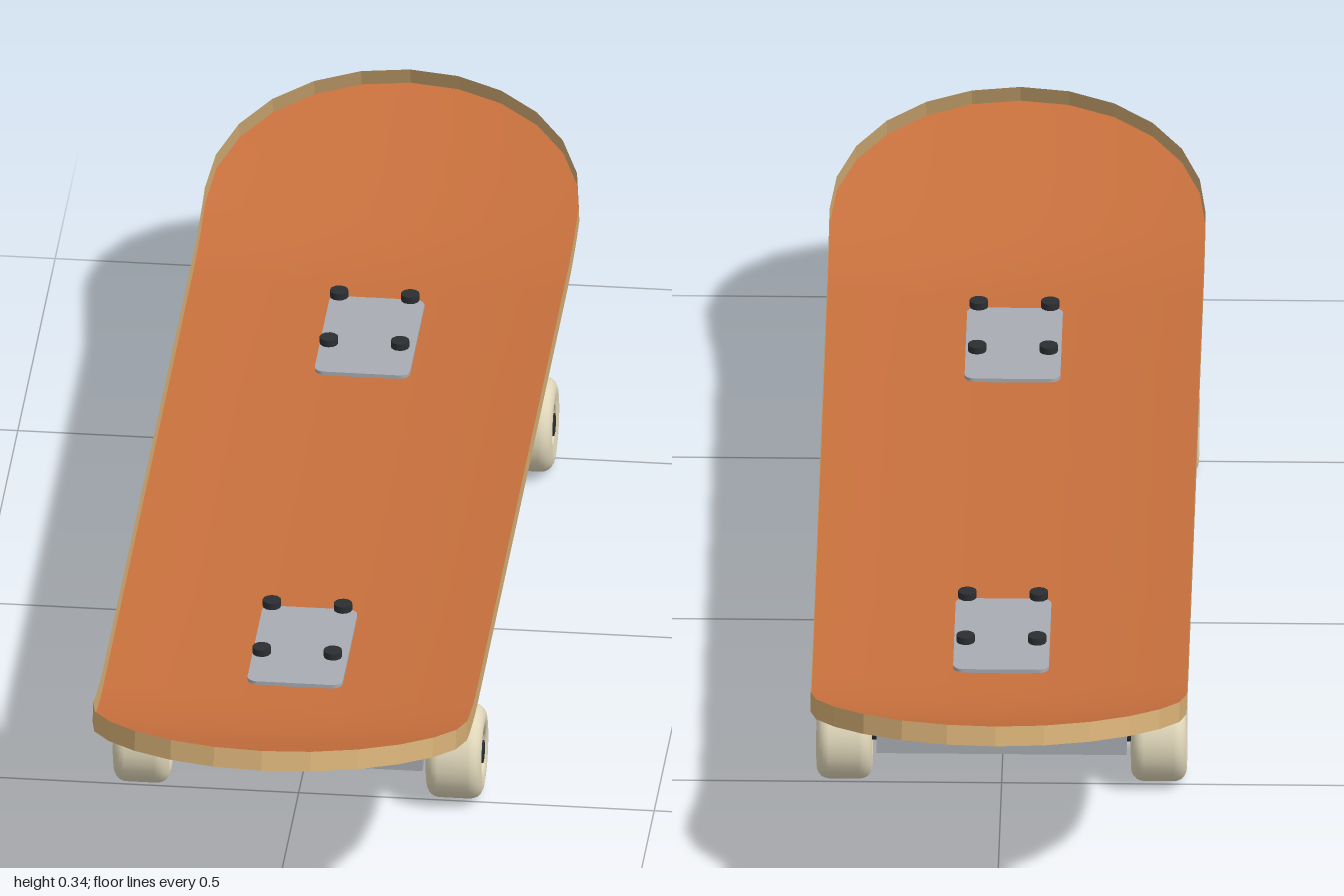
import * as THREE from 'three';

const mat = (name, color, side = THREE.FrontSide) => {
  const m = new THREE.MeshStandardMaterial({ color, side });
  m.name = name;
  return m;
};

const HALF_W = 0.263, ARC_Z = 0.755, ARC_R = 0.245, THICK = 0.028;

// Height of the deck: gentle concave across, upturned kicks at both ends
function kick(z) {
  const t = Math.max(0, Math.abs(z) - 0.6);
  return t < 0.2 ? 0.9 * t * t : 0.036 + 0.36 * (t - 0.2);
}
const kickSlope = z => Math.sign(z) * Math.min(0.36, 1.8 * Math.max(0, Math.abs(z) - 0.6));
const deckY = (x, z) => 0.202 + kick(z) + 0.015 * (x / HALF_W) ** 2;

// Cross-sections [z, half width] from tail to nose
function deckRows() {
  const half = [[0, HALF_W], [0.3, HALF_W]];
  for (const z of [0.6, 0.64, 0.68, 0.72]) half.push([z, HALF_W]);
  for (let i = 0; i <= 6; i++) {
    const a = i * Math.PI / 12;
    half.push([ARC_Z + ARC_R * Math.sin(a), HALF_W * Math.cos(a)]);
  }
  const back = half.slice(1).reverse().map(([z, w]) => [-z, w]);
  return [...back, ...half];
}

function gridGeometry(rows, flat) {
  const pos = [], idx = [], n = rows[0].length;
  rows.forEach(r => r.forEach(p => pos.push(...p)));
  for (let i = 0; i < rows.length - 1; i++)
    for (let j = 0; j < n - 1; j++) {
      const a = i * n + j, b = a + n;
      idx.push(a, b, a + 1, b, b + 1, a + 1);
    }
  let g = new THREE.BufferGeometry();
  g.setAttribute('position', new THREE.Float32BufferAttribute(pos, 3));
  g.setIndex(idx);
  if (flat) g = g.toNonIndexed();
  g.computeVertexNormals();
  return g;
}

export function createModel() {
  const model = new THREE.Group();
  model.name = 'skateboard';
  const orange = mat('orangeDeck', 0xc8703d, THREE.DoubleSide);
  const wood = mat('woodEdge', 0xd2ac74, THREE.DoubleSide);
  const metal = mat('greyMetal', 0xa9adb3);
  const dark = mat('darkSteel', 0x2c2e32);
  const cream = mat('creamWheel', 0xe0d7ba);
  const yellow = mat('yellowBushing', 0xd9a521);

  const add = (parent, name, geo, material, x = 0, y = 0, z = 0) => {
    const m = new THREE.Mesh(geo, material);
    m.name = name;
    m.position.set(x, y, z);
    parent.add(m);
    return m;
  };

  // Deck sheet
  const rows = deckRows();
  const sheet = rows.map(([z, w]) => {
    const r = [];
    for (let j = 0; j <= 12; j++) {
      const x = w * (j / 6 - 1);
      r.push([x, deckY(x, z), z]);
    }
    return r;
  });
  add(model, 'deck', gridGeometry(sheet, false), orange);

  // Raised rim following the outline, standing square to the sheet
  const outline = [
    ...rows.map(([z, w]) => [w, z]),
    ...rows.slice(0, -1).reverse().map(([z, w]) => [-w, z]),
  ];
  const rim = [0, 1].map(k => outline.map(([x, z]) => {
    const s = kickSlope(z), l = Math.hypot(1, s);
    return [x, deckY(x, z) + k * THICK / l, z - k * THICK * s / l];
  }));
  add(model, 'deckRim', gridGeometry(rim, true), wood);

  // Shared truck geometries
  const plateShape = new THREE.Shape();
  const pw = 0.067, pd = 0.11, pr = 0.014;
  plateShape.absarc(pw - pr, pd - pr, pr, 0, Math.PI / 2);
  plateShape.absarc(-pw + pr, pd - pr, pr, Math.PI / 2, Math.PI);
  plateShape.absarc(-pw + pr, -pd + pr, pr, Math.PI, Math.PI * 1.5);
  plateShape.absarc(pw - pr, -pd + pr, pr, Math.PI * 1.5, Math.PI * 2);
  const plateGeo = new THREE.ExtrudeGeometry(plateShape, { depth: 0.02, bevelEnabled: false, curveSegments: 4 });
  plateGeo.rotateX(-Math.PI / 2);

  const hangerShape = new THREE.Shape([
    [-0.175, 0.05], [0.175, 0.05], [0.175, 0.09], [0.07, 0.132], [-0.07, 0.132], [-0.175, 0.09],
  ].map(p => new THREE.Vector2(...p)));
  const hangerGeo = new THREE.ExtrudeGeometry(hangerShape, { depth: 0.07, bevelEnabled: false });
  hangerGeo.translate(0, 0, -0.035);

  // Pivot block tapering downward
  const pivotGeo = new THREE.BoxGeometry(0.11, 0.065, 0.09);
  const pp = pivotGeo.attributes.position;
  for (let i = 0; i < pp.count; i++)
    if (pp.getY(i) < 0) pp.setXYZ(i, pp.getX(i) * 0.55, pp.getY(i), pp.getZ(i) * 0.47);
  pivotGeo.computeVertexNormals();

  // Wheel with rounded shoulders and an open bore
  const wheelPts = [[0.029, -0.036], [0.046, -0.039]];
  for (const s of [-1, 1])
    for (let i = 0; i <= 5; i++) {
      const a = (s < 0 ? i - 5 : i) * Math.PI / 10;
      wheelPts.push([0.049 + 0.018 * Math.cos(a), s * 0.021 + 0.018 * Math.sin(a)]);
    }
  wheelPts.push([0.046, 0.039], [0.029, 0.036], [0.029, -0.036]);
  const wheelGeo = new THREE.LatheGeometry(wheelPts.map(p => new THREE.Vector2(...p)), 32);
  wheelGeo.rotateZ(-Math.PI / 2);
  const across = (r, len, sides) => new THREE.CylinderGeometry(r, r, len, sides).rotateZ(Math.PI / 2);

  // Kingpin stack: name, material, bottom y, top y, bottom radius, top radius, sides
  const stack = [
    ['upperWasher', metal, 0.178, 0.19, 0.03, 0.03, 20],
    ['upperBushing', yellow, 0.152, 0.178, 0.034, 0.03, 20],
    ['hangerRing', metal, 0.128, 0.152, 0.035, 0.035, 20],
    ['lowerBushing', yellow, 0.1, 0.128, 0.028, 0.034, 20],
    ['lowerWasher', metal, 0.086, 0.1, 0.024, 0.028, 20],
    ['kingpinNut', dark, 0.066, 0.086, 0.022, 0.022, 6],
    ['kingpinTip', dark, 0.056, 0.066, 0.011, 0.011, 12],
  ];

  function makeTruck() {
    const t = new THREE.Group();
    add(t, 'basePlate', plateGeo, metal, 0, 0.188);
    add(t, 'pivot', pivotGeo, metal, 0, 0.157, 0.061);
    add(t, 'hanger', hangerGeo, metal, 0, 0, 0.025);
    add(t, 'hangerArm', new THREE.BoxGeometry(0.05, 0.024, 0.05), metal, 0, 0.12, 0);
    for (const [name, m, y0, y1, r0, r1, n] of stack)
      add(t, name, new THREE.CylinderGeometry(r1, r0, y1 - y0, n), m, 0, (y0 + y1) / 2, -0.032);
    add(t, 'axle', across(0.011, 0.5, 16), dark, 0, 0.067, 0.025);
    for (const sx of [-1, 1]) {
      add(t, 'wheel', wheelGeo, cream, sx * 0.22, 0.067, 0.025);
      add(t, 'wheelHub', across(0.029, 0.062, 24), dark, sx * 0.22, 0.067, 0.025);
      add(t, 'axleNut', across(0.016, 0.01, 6), dark, sx * 0.253, 0.067, 0.025);
      add(t, 'axleSpacer', across(0.012, 0.01, 12), dark, sx * 0.178, 0.067, 0.025);
      for (const sz of [-1, 1]) {
        add(t, 'boltHead', new THREE.CylinderGeometry(0.013, 0.013, 0.01, 12), dark, sx * 0.05, 0.236, sz * 0.068);
        add(t, 'boltNut', new THREE.CylinderGeometry(0.013, 0.013, 0.011, 6), dark, sx * 0.05, 0.183, sz * 0.068);
      }
    }
    return t;
  }

  // Trucks face outward, kingpins toward the middle
  const front = makeTruck();
  front.name = 'frontTruck';
  front.position.z = 0.45;
  const rear = makeTruck();
  rear.name = 'rearTruck';
  rear.position.z = -0.45;
  rear.rotation.y = Math.PI;
  model.add(front, rear);
  return model;
}
